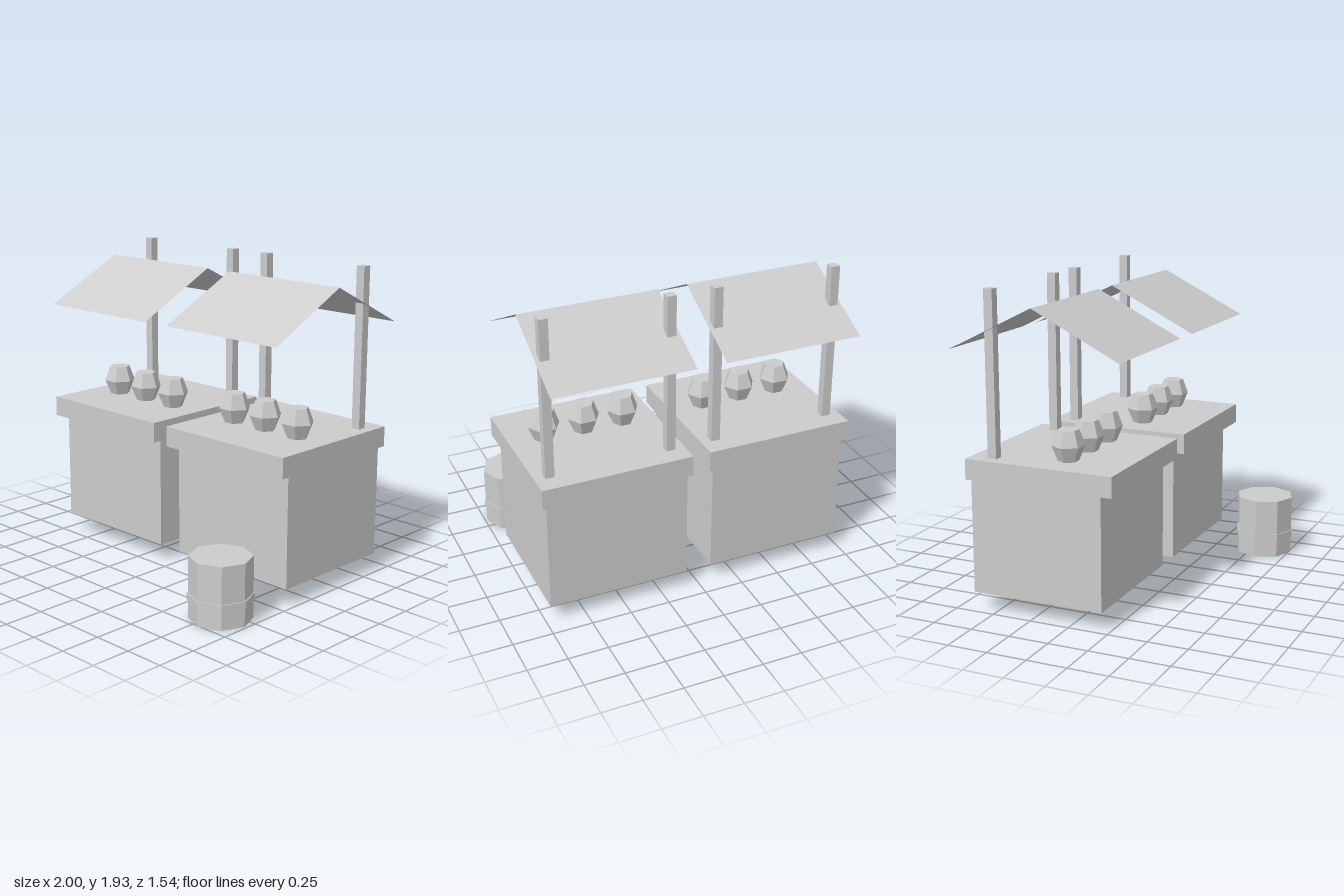
import * as THREE from 'three';

export function createModel() {
  const model = new THREE.Group();
  const plain = new THREE.MeshStandardMaterial({ color: 0xcccccc, flatShading: true });
  plain.name = 'light grey';
  const cloth = new THREE.MeshStandardMaterial({ color: 0xcccccc, flatShading: true, side: THREE.DoubleSide });
  cloth.name = 'light grey cloth';

  const add = (parent, name, geometry, x, y, z, material = plain) => {
    const mesh = new THREE.Mesh(geometry, material);
    mesh.name = name;
    mesh.position.set(x, y, z);
    parent.add(mesh);
    return mesh;
  };

  // closed faceted solid from [radius, y] rings, first corner on the x axis
  const turned = (rings, sides) => {
    const profile = rings.map(([r, y]) => new THREE.Vector2(r, y));
    return new THREE.LatheGeometry(profile, sides).rotateY(Math.PI / 2);
  };

  // tent-shaped awning: two slopes meeting at a ridge
  const awningGeometry = () => {
    const geometry = new THREE.PlaneGeometry(0.87, 1.086, 1, 2).rotateX(-Math.PI / 2);
    const p = geometry.attributes.position;
    for (let i = 0; i < p.count; i++) p.setY(i, -0.27 * Math.abs(p.getZ(i)) / 0.543);
    geometry.computeVertexNormals();
    return geometry;
  };

  const jar = turned([[0, 0], [0.062, 0], [0.1, 0.092], [0.065, 0.186], [0, 0.186]], 6);

  // two identical market stalls
  for (const side of [-1, 1]) {
    const stall = new THREE.Group();
    stall.name = side < 0 ? 'rightStall' : 'leftStall';
    stall.position.x = side * 0.527;
    add(stall, 'counterBase', new THREE.BoxGeometry(0.888, 0.7, 0.84), 0, 0.461, -0.22);
    add(stall, 'counterTop', new THREE.BoxGeometry(0.944, 0.126, 0.944), 0, 0.875, -0.19);
    for (const s of [-1, 1]) {
      add(stall, 'post', new THREE.BoxGeometry(0.056, 0.994, 0.056), s * 0.381, 1.435, -0.517);
    }
    add(stall, 'awning', awningGeometry(), 0, 1.84, -0.229, cloth);
    for (const i of [-1, 0, 1]) add(stall, 'jar', jar, i * 0.255, 0.938, -0.096);
    model.add(stall);
  }

  // eight-sided barrel with one raised hoop
  const barrel = turned([
    [0, 0], [0.188, 0], [0.188, 0.112], [0.195, 0.112],
    [0.195, 0.155], [0.188, 0.155], [0.188, 0.382], [0, 0.382],
  ], 8);
  add(model, 'barrel', barrel, 0.799, 0, 0.573);

  return model;
}
